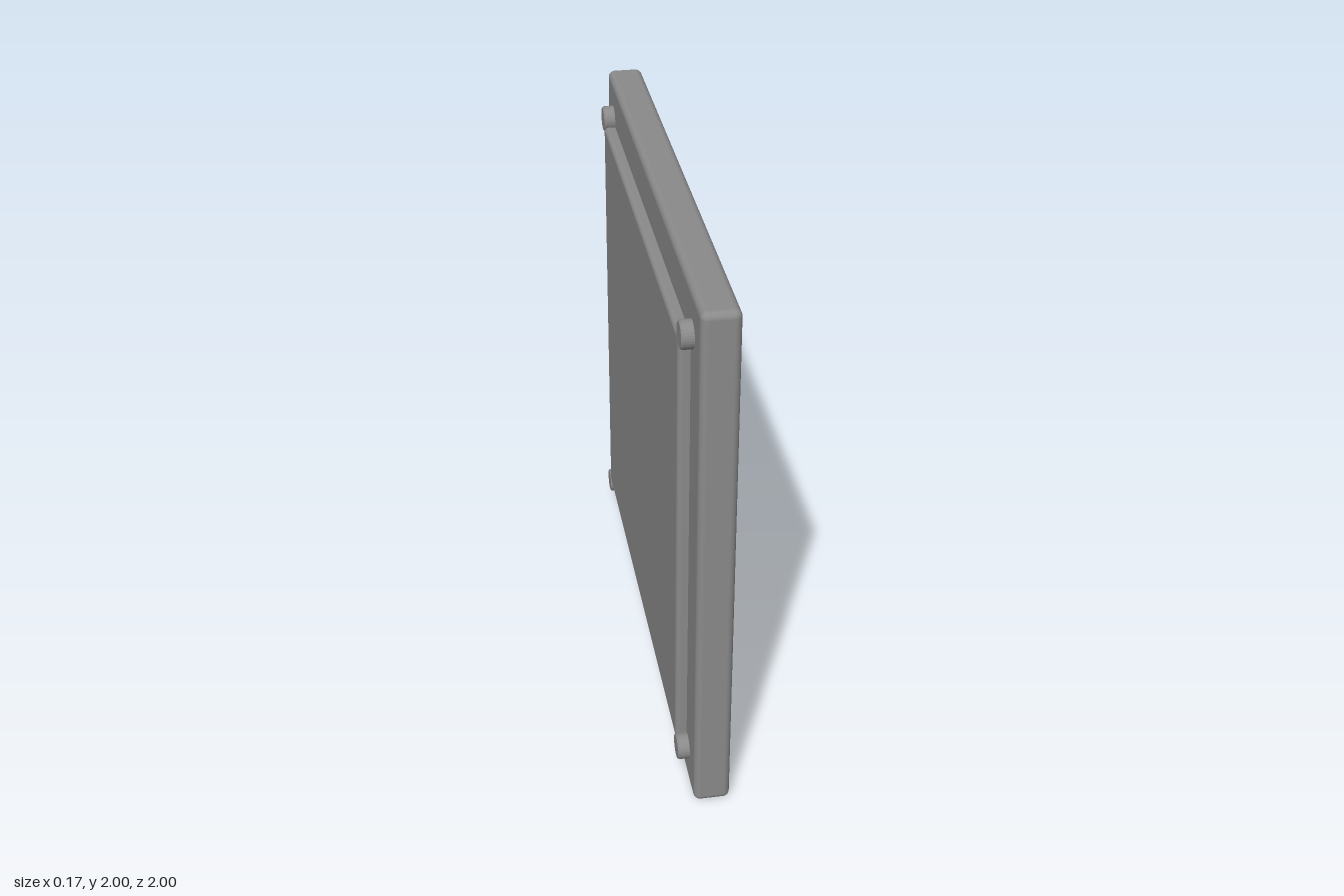
import * as THREE from 'three';
import { RoundedBoxGeometry } from 'three/addons/geometries/RoundedBoxGeometry.js';

export function createModel() {
  const model = new THREE.Group();
  model.name = 'wallTile';
  const grey = new THREE.MeshStandardMaterial({ color: 0x8a8a8a });
  grey.name = 'grey';

  const add = (name, geometry, x, y, z) => {
    const mesh = new THREE.Mesh(geometry, grey);
    mesh.name = name;
    mesh.position.set(x, y, z);
    model.add(mesh);
    return mesh;
  };

  // Main slab with softened edges
  add('slab', new RoundedBoxGeometry(0.13, 2, 2, 5, 0.025), 0.021, 1, 0);

  // Raised panel on the right side, partly sunk into the slab
  add('raisedPanel', new RoundedBoxGeometry(0.08, 1.67, 1.67, 4, 0.018), -0.045, 1, 0);

  // Round foot at each corner, with a slightly eased rim
  const r = 0.048, h = 0.056, ease = 0.005;
  const profile = [[0, 0], [r, 0], [r, h - ease], [r - ease, h], [0, h]]
    .map(([px, py]) => new THREE.Vector2(px, py));
  // Splitting the lathe faces keeps the rim crisp
  const foot = new THREE.LatheGeometry(profile, 32).toNonIndexed();
  foot.computeVertexNormals();
  foot.rotateZ(Math.PI / 2);
  for (const sy of [-1, 1]) {
    for (const sz of [-1, 1]) {
      add('cornerFoot', foot, -0.03, 1 + sy * 0.855, sz * 0.855);
    }
  }
  return model;
}
